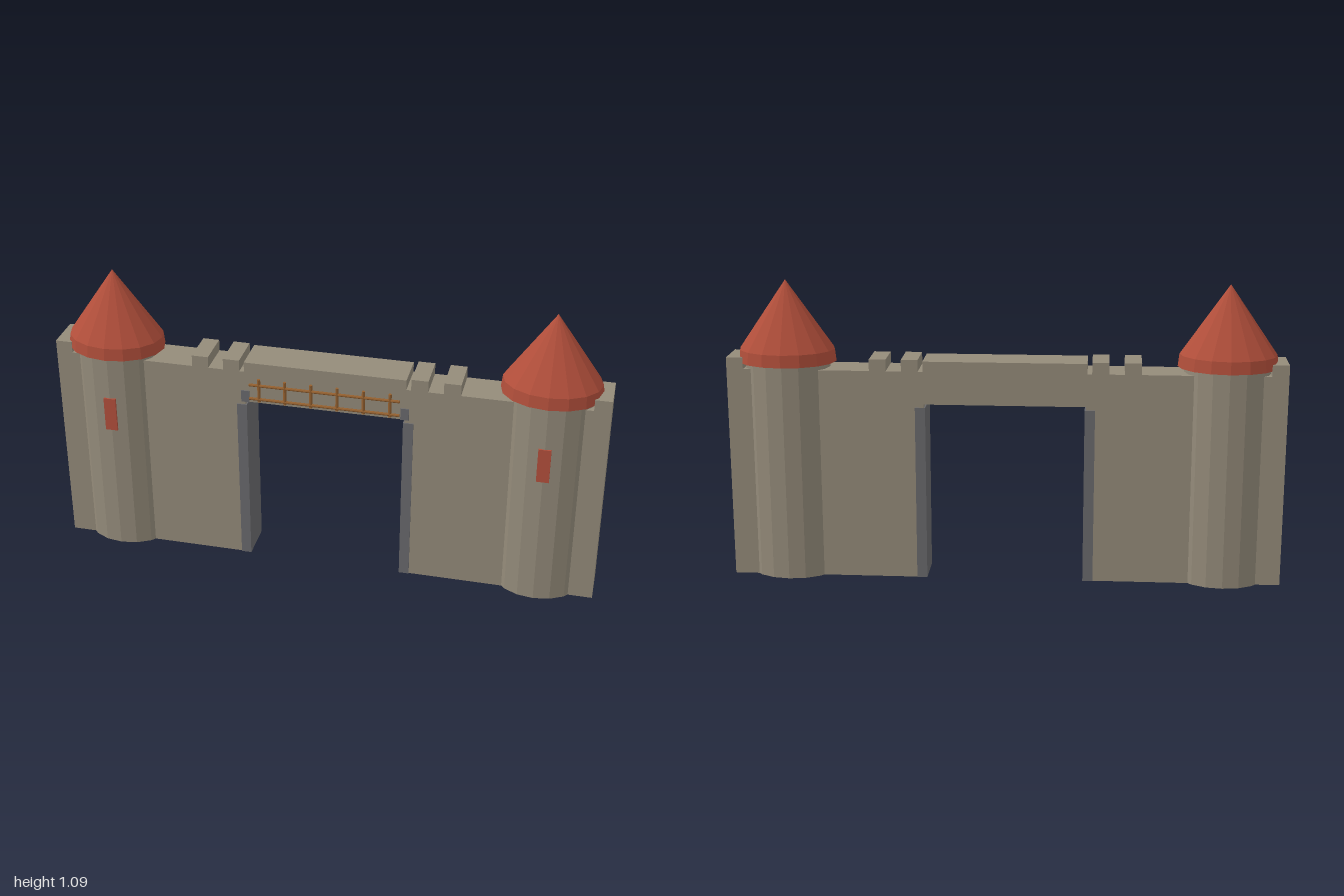
import * as THREE from 'three';

const mat = (name, color, flat = true) => {
  const m = new THREE.MeshStandardMaterial({ color, flatShading: flat });
  m.name = name;
  return m;
};

export function createModel() {
  const stone = mat('stone', 0x948b7a);
  const darkStone = mat('darkStone', 0x69696c);
  const roofRed = mat('roofRed', 0xb24f3b);
  const wood = mat('wood', 0x94602f);

  const model = new THREE.Group();
  model.name = 'castleGate';
  const add = (parent, name, geometry, material) => {
    const mesh = new THREE.Mesh(geometry, material);
    mesh.name = name;
    parent.add(mesh);
    return mesh;
  };
  // Box given by its minimum and maximum corners
  const block = (name, material, [x0, x1], [y0, y1], [z0, z1]) => {
    const mesh = add(model, name, new THREE.BoxGeometry(x1 - x0, y1 - y0, z1 - z0), material);
    mesh.position.set((x0 + x1) / 2, (y0 + y1) / 2, (z0 + z1) / 2);
    return mesh;
  };

  const D = 0.07; // half depth of the wall

  // Curtain wall with the gate opening
  const outline = new THREE.Shape();
  [[-1, 0], [-0.29, 0], [-0.29, 0.655], [0.29, 0.655], [0.29, 0], [1, 0], [1, 0.775], [-1, 0.775]]
    .forEach(([x, y], i) => (i ? outline.lineTo(x, y) : outline.moveTo(x, y)));
  const wall = new THREE.ExtrudeGeometry(outline, { depth: 2 * D, bevelEnabled: false });
  add(model, 'wall', wall.translate(0, 0, -D), stone);

  // Raised parapet over the gate
  block('parapet', stone, [-0.293, 0.293], [0.775, 0.812], [-D, D]);

  for (const s of [-1, 1]) {
    const span = (a, b) => (s > 0 ? [a, b] : [-b, -a]);

    // Battlements
    for (const [a, b] of [[0.31, 0.37], [0.425, 0.485], [0.94, 1]]) {
      block('merlon', stone, span(a, b), [0.77, 0.817], [-D, D]);
    }

    // Gate jamb and the corbel at the end of the lintel
    block('gateJamb', darkStone, span(0.285, 0.322), [0, 0.643], [-D - 0.004, D + 0.004]);
    block('corbel', darkStone, span(0.275, 0.305), [0.655, 0.7], [D - 0.01, D + 0.004]);

    // Oval tower with sixteen sides, roof and window
    const tower = new THREE.Group();
    tower.name = 'tower';
    tower.position.x = s * 0.79;
    model.add(tower);

    const body = add(tower, 'towerBody', new THREE.CylinderGeometry(0.12, 0.12, 0.81, 16), stone);
    body.position.y = 0.405;
    body.scale.x = 1.286;

    const profile = [[0, 0.795], [0.14, 0.795], [0.136, 0.84], [0, 1.09]];
    const roof = add(tower, 'towerRoof',
      new THREE.LatheGeometry(profile.map(([r, y]) => new THREE.Vector2(r, y)), 16), roofRed);
    roof.scale.x = 1.27;

    const window = add(tower, 'window', new THREE.BoxGeometry(0.045, 0.13, 0.009), roofRed);
    window.position.set(0, 0.565, 0.1195);
  }

  // Wooden railing on the front of the lintel
  for (const y of [0.675, 0.73]) {
    const rail = add(model, 'rail', new THREE.CylinderGeometry(0.0055, 0.0055, 0.545, 8), wood);
    rail.rotation.z = Math.PI / 2;
    rail.position.set(0, y, 0.08);
  }
  for (let i = 0; i < 6; i++) {
    const post = add(model, 'railPost', new THREE.CylinderGeometry(0.006, 0.006, 0.09, 8), wood);
    post.position.set(-0.237 + i * 0.095, 0.71, 0.079);
  }

  return model;
}
